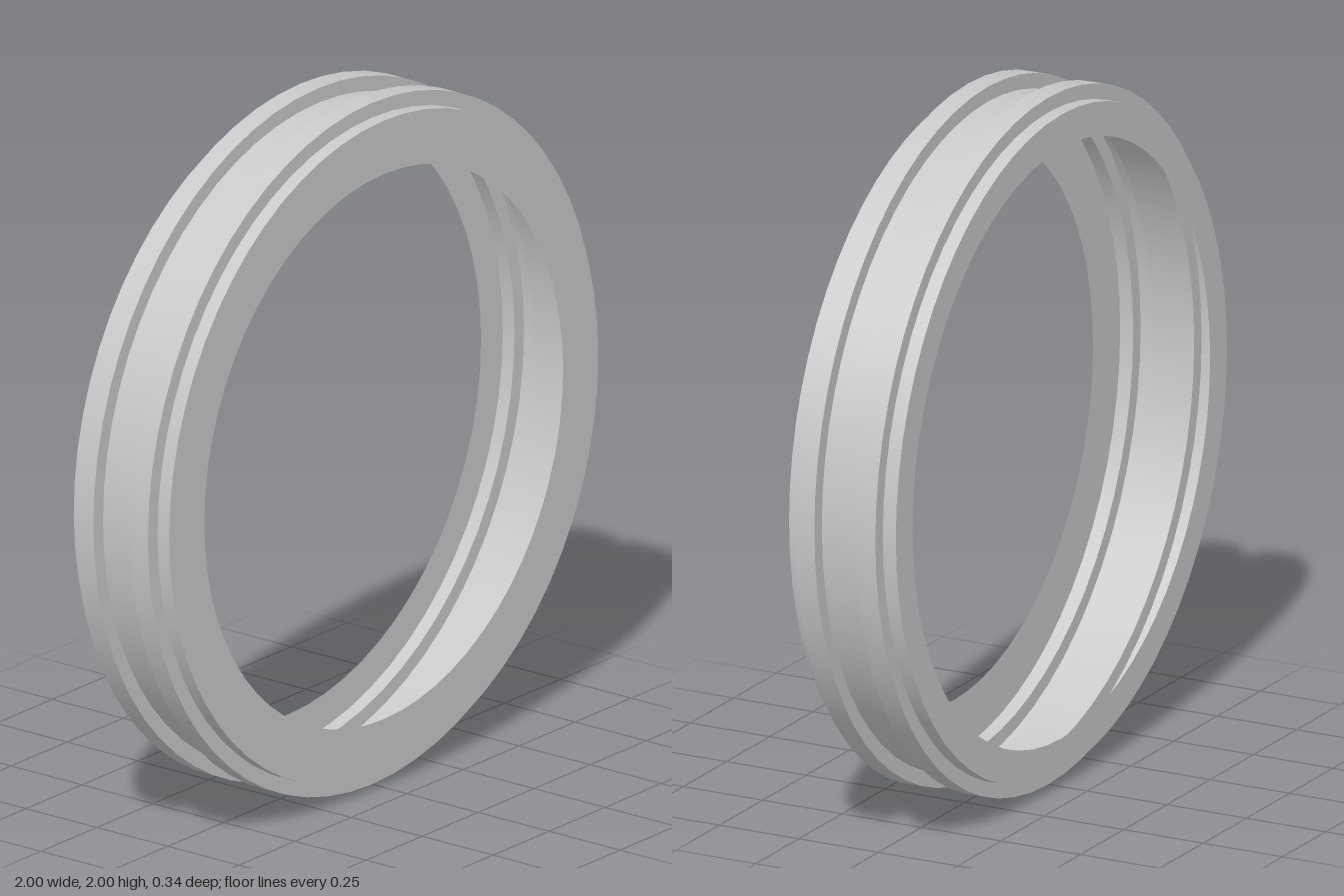
import * as THREE from 'three';
import { mergeGeometries } from 'three/addons/utils/BufferGeometryUtils.js';

const SEGMENTS = 64;

// Lathe a [radius, z] profile around z, one band per segment so edges stay sharp.
function turned(profile) {
  const bands = [];
  for (let i = 0; i < profile.length - 1; i++) {
    const points = [profile[i], profile[i + 1]].map(([r, z]) => new THREE.Vector2(r, z));
    bands.push(new THREE.LatheGeometry(points, SEGMENTS));
  }
  return mergeGeometries(bands).rotateX(Math.PI / 2);
}

export function createModel() {
  const model = new THREE.Group();
  model.name = 'ribbedRing';
  const grey = new THREE.MeshStandardMaterial({ color: 0xc8c8c8, side: THREE.DoubleSide });
  grey.name = 'grey';

  const half = 0.168, wall = 0.957, rib = 1;
  const ribIn = 0.065, ribOut = 0.127;
  const add = (name, profile) => {
    const mesh = new THREE.Mesh(turned(profile), grey);
    mesh.name = name;
    mesh.position.y = 1;
    model.add(mesh);
  };

  // Thin sheet walls: two edge bands and the band between the ribs
  add('backBand', [[wall, -half], [wall, -ribOut]]);
  add('middleBand', [[wall, -ribIn], [wall, ribIn]]);
  add('frontBand', [[wall, ribOut], [wall, half]]);

  // Raised ribs, open as grooves on the inside
  add('backRib', [[wall, -ribOut], [rib, -ribOut], [rib, -ribIn], [wall, -ribIn]]);
  add('frontRib', [[wall, ribIn], [rib, ribIn], [rib, ribOut], [wall, ribOut]]);

  // Flat end faces: wide in front, narrower behind
  add('frontLip', [[wall, half], [0.8, half]]);
  add('backLip', [[0.86, -half], [wall, -half]]);
  return model;
}
